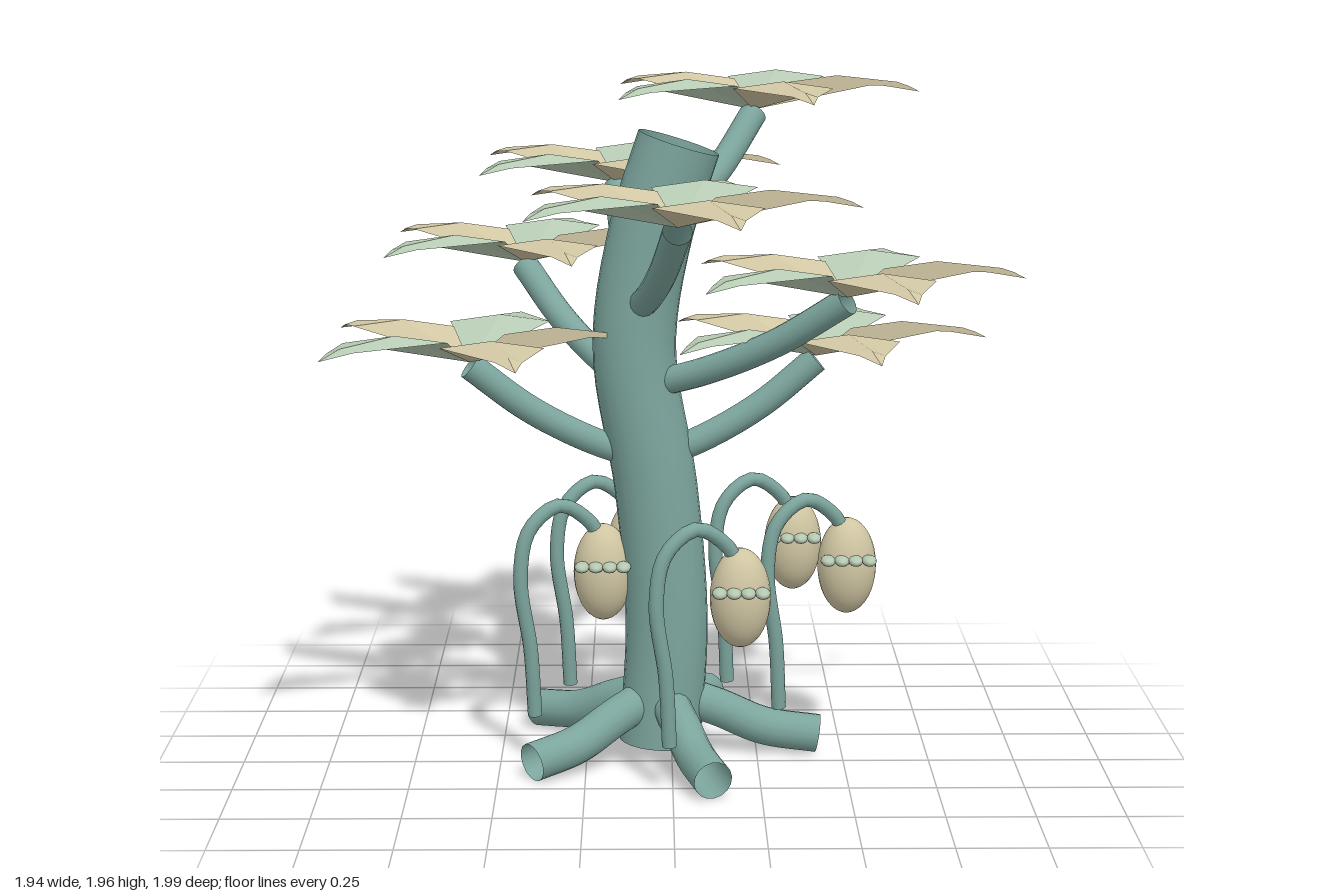
import * as THREE from 'three';

const bark = new THREE.MeshStandardMaterial({ name: 'teal bark', color: 0x7ca59d, side: THREE.DoubleSide });
const cream = new THREE.MeshStandardMaterial({ name: 'cream', color: 0xd0c6a3, side: THREE.DoubleSide });
const sage = new THREE.MeshStandardMaterial({ name: 'sage green', color: 0xb6c9b2, side: THREE.DoubleSide });

const TRUNK_X = -0.03, TRUNK_Z = -0.09;

function mesh(name, geometry, material, parent) {
  const m = new THREE.Mesh(geometry, material);
  m.name = name;
  parent.add(m);
  return m;
}

// Open-ended round tube through a few points
function tube(name, points, radius, parent, sides = 16) {
  const curve = new THREE.CatmullRomCurve3(points.map((p) => new THREE.Vector3(...p)));
  return mesh(name, new THREE.TubeGeometry(curve, 28, radius, sides), bark, parent);
}

// Ridged diamond leaf: its spine follows the angle, its width always runs along x
function leafGeometry(angle) {
  const length = 0.49;
  const sections = [ // distance, half width, height, ridge height
    [0, 0, 0, 0], [0.5, 0.145, 0.09, 0.02], [0.86, 0.036, 0.075, 0.012], [1, 0, 0.052, 0],
  ];
  const rows = sections.map(([t, w, y, ridge]) => {
    const x = Math.cos(angle) * length * t, z = -Math.sin(angle) * length * t;
    return [[x - w, y - ridge / 2, z], [x, y + ridge / 2, z], [x + w, y - ridge / 2, z]];
  });
  const pos = [];
  for (let i = 0; i < rows.length - 1; i++) {
    for (let j = 0; j < 2; j++) {
      const a = rows[i][j], b = rows[i][j + 1], c = rows[i + 1][j + 1], d = rows[i + 1][j];
      if (i > 0) pos.push(...a, ...b, ...c);
      if (i < rows.length - 2) pos.push(...a, ...c, ...d);
    }
  }
  // keep the upper side as the front
  if (Math.sin(angle) < 0) {
    for (let k = 0; k < pos.length; k += 9) {
      for (let n = 0; n < 3; n++) [pos[k + 3 + n], pos[k + 6 + n]] = [pos[k + 6 + n], pos[k + 3 + n]];
    }
  }
  const g = new THREE.BufferGeometry();
  g.setAttribute('position', new THREE.Float32BufferAttribute(pos, 3));
  g.computeVertexNormals();
  return g;
}

export function createModel() {
  const tree = new THREE.Group();
  tree.name = 'tree';

  // Swaying hollow trunk
  tube('trunk', [
    [-0.035, 0.045, TRUNK_Z], [-0.015, 0.4, TRUNK_Z], [-0.045, 0.8, TRUNK_Z],
    [-0.108, 1.22, TRUNK_Z], [-0.06, 1.55, TRUNK_Z], [0.02, 1.805, TRUNK_Z],
  ], 0.12, tree, 24);

  // Five roots
  for (let i = 0; i < 5; i++) {
    const a = i * Math.PI * 2 / 5, c = Math.cos(a), s = Math.sin(a);
    tube('root', [[0.06, 0.18], [0.17, 0.14], [0.3, 0.085], [0.46, 0.06]]
      .map(([r, y]) => [TRUNK_X + r * c, y, TRUNK_Z + r * s]), 0.056, tree);
  }

  // Branches with a rosette of five leaves: tip x, y, z, then trunk x, y
  const leaves = [0, 1, 2, 3, 4].map((i) => leafGeometry(i * Math.PI * 2 / 5));
  const branches = [
    [-0.575, 1.19, 0.0, -0.07, 0.89], [0.415, 1.19, -0.1, -0.06, 0.89],
    [-0.435, 1.41, -0.475, -0.1, 1.1], [0.48, 1.41, 0.23, -0.1, 1.1],
    [0.01, 1.64, 0.515, -0.1, 1.33], [-0.16, 1.64, -0.54, -0.1, 1.33],
    [0.245, 1.865, -0.46, -0.06, 1.53],
  ];
  for (const [x, y, z, tx, ty] of branches) {
    const at = (f, h) => [tx + (x - tx) * f, ty + (y - 0.01 - ty) * h, TRUNK_Z + (z - TRUNK_Z) * f];
    tube('branch', [at(0, 0), at(0.33, 0.22), at(0.67, 0.55), at(1, 1)], 0.04, tree);
    const rosette = new THREE.Group();
    rosette.name = 'leafRosette';
    rosette.position.set(x, y, z);
    leaves.forEach((g, i) => mesh('leaf', g, i % 2 ? sage : cream, rosette));
    tree.add(rosette);
  }

  // Drooping stalks carrying pods with a row of beads
  const podGeometry = new THREE.SphereGeometry(1, 24, 18);
  const beadGeometry = new THREE.SphereGeometry(1, 12, 8);
  const stalks = [[0.315, -0.09], [-0.01, 0.28], [-0.4, -0.02], [-0.305, -0.34], [0.17, -0.37]];
  for (const [x, z] of stalks) {
    const plant = new THREE.Group();
    plant.name = 'podStalk';
    plant.position.set(x, 0, z);
    tree.add(plant);
    tube('stalk', [
      [0, 0.14, 0], [-0.01, 0.34, 0.015], [-0.037, 0.56, 0.03], [-0.01, 0.7, 0.02],
      [0.075, 0.765, -0.01], [0.16, 0.71, -0.05], [0.195, 0.65, -0.065],
    ], 0.021, plant, 12);
    const pod = mesh('pod', podGeometry, cream, plant);
    pod.position.set(0.2, 0.555, -0.065);
    pod.scale.set(0.086, 0.143, 0.082);
    for (let i = 0; i < 4; i++) {
      const bead = mesh('bead', beadGeometry, sage, plant);
      bead.position.set(0.2 + (i - 1.5) * 0.04, 0.587, 0.012);
      bead.scale.set(0.022, 0.015, 0.042);
    }
  }
  return tree;
}
